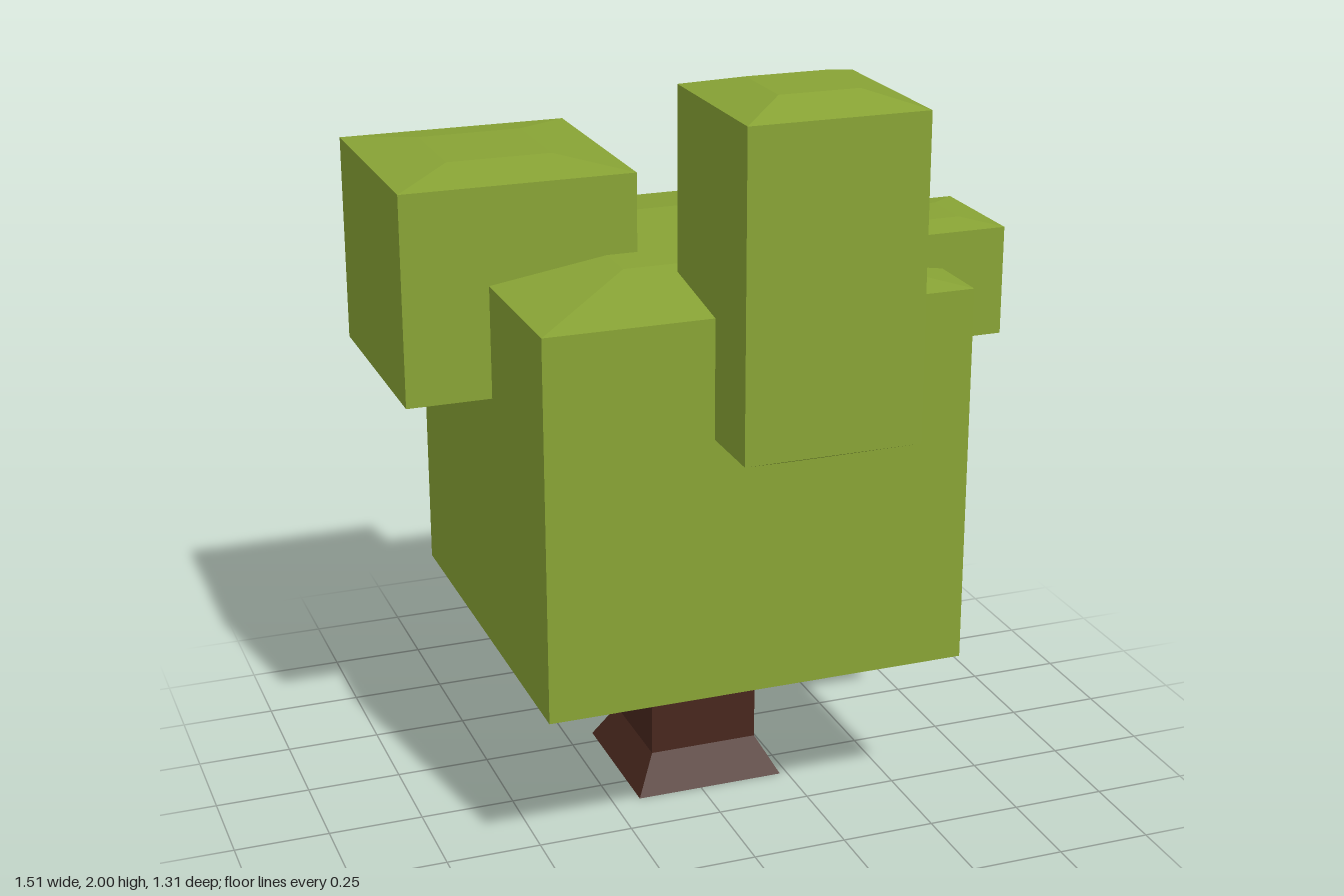
import * as THREE from 'three';

const leaf = new THREE.MeshStandardMaterial({ color: 0x88a335, flatShading: true });
const bark = new THREE.MeshStandardMaterial({ color: 0x48271d, flatShading: true });

// Square solid turned from [halfWidth, y] points, listed bottom to top
function squareSolid(name, x, z, profile, material) {
  const points = profile.map(([half, y]) => new THREE.Vector2(half * Math.SQRT2, y));
  const geometry = new THREE.LatheGeometry(points, 4).rotateY(Math.PI / 4);
  const mesh = new THREE.Mesh(geometry, material);
  mesh.name = name;
  mesh.position.set(x, 0, z);
  return mesh;
}

// Foliage block: straight sides with a shallow cap above and a steeper taper below
function foliage(name, x, z, half, [base, low, high, top]) {
  return squareSolid(name, x, z, [
    [0, base], [half * 0.264, base], [half, low],
    [half, high], [half * 0.45, top], [0, top],
  ], leaf);
}

export function createModel() {
  const tree = new THREE.Group();
  tree.name = 'tree';

  // Trunk with a flared foot, running up into the crown
  tree.add(squareSolid('trunk', 0.027, -0.097, [
    [0, 0], [0.203, 0], [0.148, 0.1], [0.148, 0.362], [0, 0.362],
  ], bark));

  // Large crown and the smaller blocks growing out of it
  const blocks = [
    ['crown', 0.025, -0.097, 0.557, [0.36, 0.457, 1.455, 1.503]],
    ['tallFrontFoliage', 0.128, 0.428, 0.228, [1.075, 1.147, 1.965, 2.0]],
    ['backRightFoliage', -0.449, -0.279, 0.305, [1.105, 1.16, 1.708, 1.733]],
    ['upperLeftFoliage', 0.595, 0.122, 0.157, [1.24, 1.265, 1.547, 1.56]],
    ['lowerLeftFoliage', 0.595, -0.177, 0.157, [0.395, 0.42, 0.7, 0.712]],
  ];
  for (const block of blocks) tree.add(foliage(...block));

  return tree;
}
